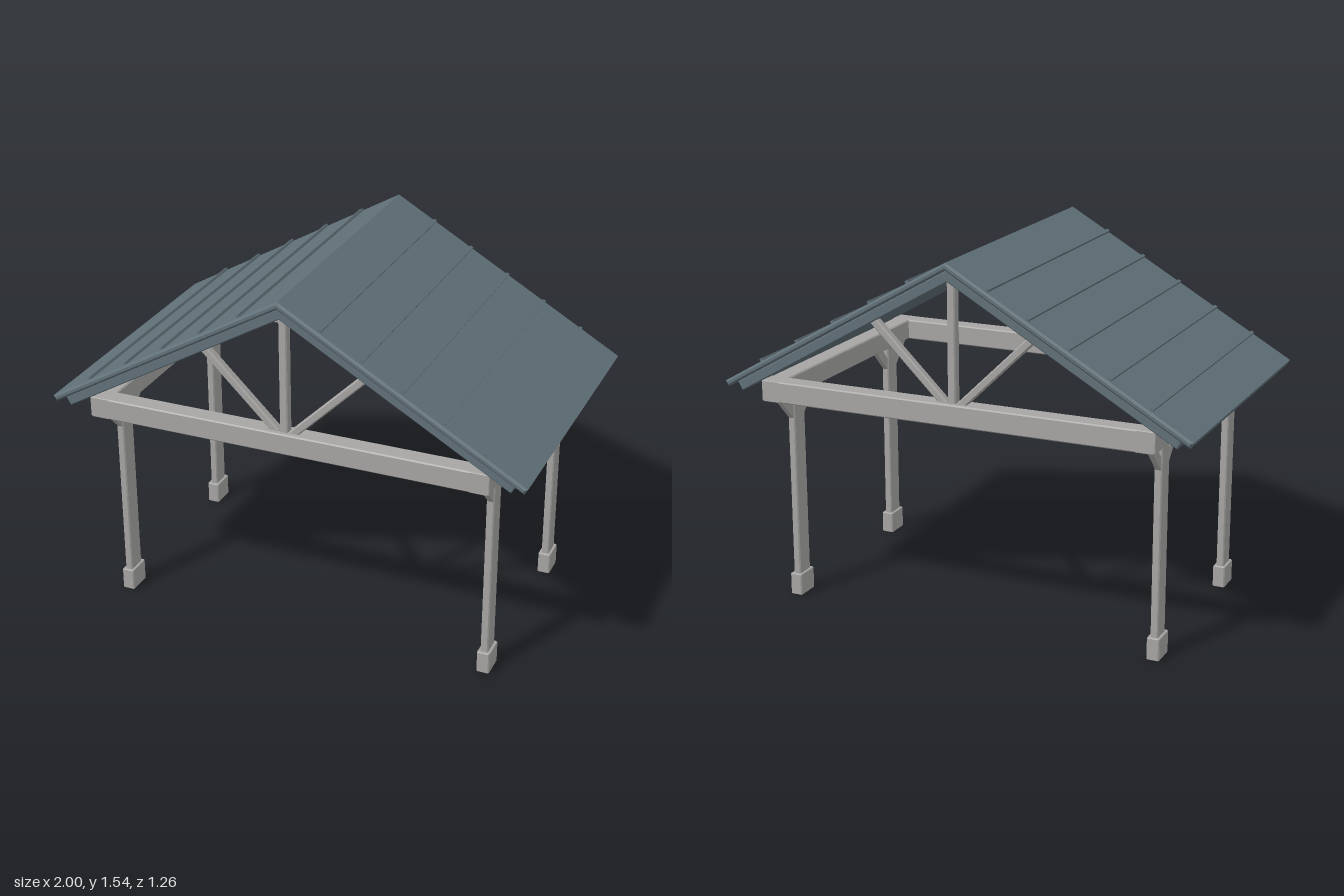
import * as THREE from 'three';

const wood = new THREE.MeshStandardMaterial({ color: 0xa6a5a3 });
wood.name = 'weathered grey timber';
const slate = new THREE.MeshStandardMaterial({ color: 0x607078 });
slate.name = 'slate blue metal';

const SLOPE = Math.PI / 6; // roof pitch
const T = Math.tan(SLOPE);

// Extrude a closed outline along z, centred, with bevelled ends and edges
function extrude(points, length, bevel) {
  const shape = new THREE.Shape(points.map(([x, y]) => new THREE.Vector2(x, y)));
  const geo = new THREE.ExtrudeGeometry(shape, {
    depth: length - 2 * bevel,
    bevelEnabled: bevel > 0,
    bevelThickness: bevel,
    bevelSize: bevel,
    bevelOffset: -bevel,
    bevelSegments: 1,
  });
  return geo.translate(0, 0, -length / 2 + bevel);
}

// Timber with chamfered long edges and ends, running along z
function timber(w, h, length, c = 0.005) {
  const a = w / 2, b = h / 2;
  return extrude([
    [-a + c, -b], [a - c, -b], [a, -b + c], [a, b - c],
    [a - c, b], [-a + c, b], [-a, b - c], [-a, -b + c],
  ], length, c / 2);
}

// Gable-shaped band: ridge heights, half width of the upper edge, square-cut eaves
function gableBand(topY, bottomY, halfWidth, length, bevel) {
  const t = (topY - bottomY) * Math.cos(SLOPE);
  const xb = halfWidth - t * Math.sin(SLOPE);
  const yTop = topY - halfWidth * T, yBottom = bottomY - xb * T;
  return extrude([
    [0, topY], [-halfWidth, yTop], [-xb, yBottom],
    [0, bottomY], [xb, yBottom], [halfWidth, yTop],
  ], length, bevel);
}

export function createModel() {
  const model = new THREE.Group();
  model.name = 'gablePavilion';

  const add = (name, geo, mat, x, y, z) => {
    const mesh = new THREE.Mesh(geo, mat);
    mesh.name = name;
    mesh.position.set(x, y, z);
    model.add(mesh);
    return mesh;
  };

  const postGeo = timber(0.032, 0.082, 0.81).rotateX(-Math.PI / 2);
  const baseGeo = timber(0.053, 0.106, 0.093).rotateX(-Math.PI / 2);
  // Knee brace outline in (z, y), with vertical and horizontal cut ends
  const braceGeo = extrude([[0, 0], [0.11, 0.112], [0.055, 0.112], [0, 0.053]], 0.022, 0)
    .rotateY(-Math.PI / 2);
  const braceMirror = braceGeo.clone().rotateY(Math.PI);

  // Posts with bases and paired knee braces
  for (const sx of [-1, 1]) {
    for (const sz of [-1, 1]) {
      const x = sx * 0.802, z = sz * 0.408;
      add('post', postGeo, wood, x, 0.49, z);
      add('postBase', baseGeo, wood, x, 0.0465, z);
      add('kneeBrace', braceGeo, wood, x, 0.78, z + 0.04);
      add('kneeBrace', braceMirror, wood, x, 0.78, z - 0.04);
    }
  }

  // Beam frame
  const sideBeam = timber(0.08, 0.088, 1.2);
  const endBeam = timber(0.08, 0.088, 1.685).rotateY(Math.PI / 2);
  for (const s of [-1, 1]) {
    add('sideBeam', sideBeam, wood, s * 0.8, 0.934, 0);
    add('endBeam', endBeam, wood, 0, 0.934, s * 0.56);
  }

  // Gable trusses: king post and two diagonal webs at each end
  const king = timber(0.034, 0.04, 0.51).rotateX(-Math.PI / 2);
  const from = new THREE.Vector2(0.03, 0.968);
  const to = new THREE.Vector2(0.345, 1.277);
  const dir = to.clone().sub(from);
  const web = timber(0.032, 0.036, dir.length()).rotateX(-Math.PI / 2);
  for (const sz of [-1, 1]) {
    add('kingPost', king, wood, 0, 1.225, sz * 0.56);
    for (const sx of [-1, 1]) {
      const m = add('trussWeb', web, wood,
        sx * (from.x + to.x) / 2, (from.y + to.y) / 2, sz * 0.56);
      m.rotation.z = -sx * Math.atan2(dir.x, dir.y);
    }
  }

  // Roof: inner deck under an overhanging metal sheet
  add('roofDeck', gableBand(1.511, 1.463, 0.95, 1.22, 0.004), slate, 0, 0, 0);
  add('roofSheet', gableBand(1.541, 1.51, 0.998, 1.26, 0.008), slate, 0, 0, 0);

  // Raised ribs running parallel to the ridge
  const rib = new THREE.BoxGeometry(0.014, 0.022, 1.23);
  for (const s of [-1, 1]) {
    for (let i = 1; i <= 5; i++) {
      const x = i * 0.1655;
      const m = add('roofRib', rib, slate, s * x, 1.541 - x * T, 0);
      m.rotation.z = -s * SLOPE;
    }
  }
  return model;
}
